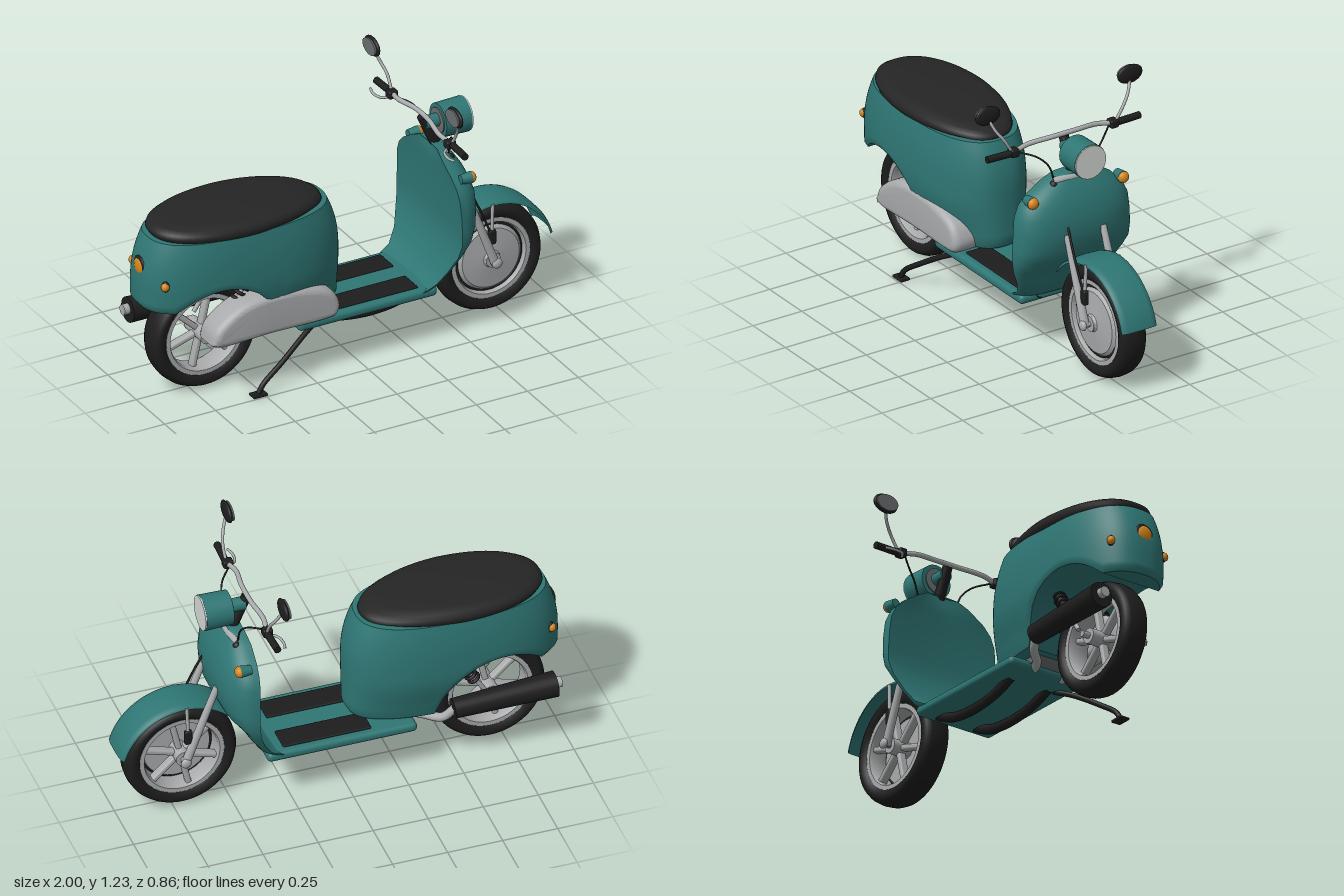
import * as THREE from 'three';
import { toCreasedNormals } from 'three/addons/utils/BufferGeometryUtils.js';
import { RoundedBoxGeometry } from 'three/addons/geometries/RoundedBoxGeometry.js';

const V = (x, y, z) => new THREE.Vector3(x, y, z);
const mat = (name, color, side = THREE.FrontSide) => {
  const m = new THREE.MeshStandardMaterial({ color, side });
  m.name = name;
  return m;
};

export function createModel() {
  const root = new THREE.Group();
  root.name = 'scooter';
  const teal = mat('teal paint', 0x2e7674, THREE.DoubleSide);
  const black = mat('black rubber', 0x1d1d1d);
  const seatMat = mat('seat black', 0x252525);
  const metal = mat('light grey metal', 0xa9abac);
  const lensMat = mat('lens white', 0xd6dad6);
  const orange = mat('orange lamp', 0xd4861c);
  const dark = mat('dark grey glass', 0x6a6e70);

  const add = (name, geo, m, pos, parent = root) => {
    const mesh = new THREE.Mesh(geo, m);
    mesh.name = name;
    if (pos) mesh.position.set(...pos);
    parent.add(mesh);
    return mesh;
  };
  // straight round bar between two points
  const rod = (name, m, a, b, r1, r2 = r1, parent = root) => {
    const p = V(...a), d = V(...b).sub(p);
    const mesh = add(name, new THREE.CylinderGeometry(r2, r1, d.length(), 24), m, null, parent);
    mesh.position.copy(p).addScaledVector(d, 0.5);
    mesh.quaternion.setFromUnitVectors(V(0, 1, 0), d.normalize());
    return mesh;
  };
  // bent round bar through points
  const pipe = (name, m, r, pts) =>
    add(name, new THREE.TubeGeometry(new THREE.CatmullRomCurve3(pts.map(p => V(...p))), 32, r, 12), m);
  const ball = (name, m, pos, rx, ry, rz) => {
    const g = new THREE.SphereGeometry(1, 24, 16);
    g.scale(rx, ry, rz);
    return add(name, g, m, pos);
  };
  // skin over closed rings of equal length
  const loft = (rings, crease) => {
    const n = rings[0].length, idx = [];
    for (let i = 0; i < rings.length - 1; i++) for (let j = 0; j < n; j++) {
      const a = i * n + j, b = i * n + (j + 1) % n;
      idx.push(a, a + n, b + n, a, b + n, b);
    }
    const g = new THREE.BufferGeometry().setFromPoints(rings.flat());
    g.setIndex(idx);
    g.computeVertexNormals();
    return crease ? toCreasedNormals(g, crease) : g;
  };
  // rounded egg outline in plan, unit size
  const outline = (n, p) => Array.from({ length: n }, (_, j) => {
    const a = j / n * Math.PI * 2, c = Math.cos(a), s = Math.sin(a);
    return [Math.sign(c) * Math.abs(c) ** (2 / p), Math.sign(s) * Math.abs(s) ** (2 / p)];
  });
  const lathe = (pts, ...arc) => {
    const g = new THREE.LatheGeometry(pts.map(p => new THREE.Vector2(...p)), ...(arc.length ? arc : [64]));
    return g.rotateX(Math.PI / 2);
  };

  // wheels
  const tyre = [[0.185, -0.045], [0.2, -0.058], [0.222, -0.066], [0.24, -0.058], [0.251, -0.035], [0.255, 0],
    [0.251, 0.035], [0.24, 0.058], [0.222, 0.066], [0.2, 0.058], [0.185, 0.045]];
  const rim = [[0.166, -0.04], [0.172, -0.052], [0.192, -0.052], [0.192, 0.052], [0.172, 0.052], [0.166, 0.04], [0.166, -0.04]];
  for (const [name, x, y, spokeZ] of [['frontWheel', 0.71, 0.26, -0.02], ['rearWheel', -0.69, 0.26, 0]]) {
    const w = new THREE.Group();
    w.name = name;
    w.position.set(x, y, 0);
    root.add(w);
    add('tyre', lathe(tyre), black, null, w);
    add('rim', toCreasedNormals(lathe(rim), 0.6), metal, null, w);
    rod('hub', metal, [0, 0, -0.075], [0, 0, 0.075], 0.035, 0.035, w);
    rod('axle', metal, [0, 0, -0.11], [0, 0, 0.11], 0.014, 0.014, w);
    for (let k = 0; k < 6; k++) {
      const g = new RoundedBoxGeometry(0.16, 0.026, 0.04, 2, 0.01);
      g.translate(0.1, 0, spokeZ).rotateZ(k * Math.PI / 3 + 0.3);
      add('spoke', g, metal, null, w);
    }
  }
  const drum = lathe([[0, 0.02], [0.15, 0.02], [0.155, 0.035], [0.14, 0.05], [0.04, 0.06], [0.03, 0.075], [0, 0.075]]);
  add('brakeDrum', toCreasedNormals(drum, 0.5), metal, [0.71, 0.26, 0]);
  add('drumRing', new THREE.TorusGeometry(0.158, 0.006, 8, 64), black, [0.71, 0.26, 0.032]);

  // front mudguard
  const rad = Math.PI / 180;
  add('frontMudguard', lathe([[0.282, -0.088], [0.294, -0.084], [0.3, -0.06], [0.302, 0], [0.3, 0.06], [0.294, 0.084], [0.282, 0.088]],
    48, 105 * rad, 130 * rad), teal, [0.71, 0.25, 0]);

  // fork and brake fittings
  for (const s of [-1, 1]) {
    rod('forkLeg', metal, [0.71, 0.25, s * 0.095], [0.565, 0.63, s * 0.092], 0.02, 0.015);
    rod('mudguardStay', metal, [0.695, 0.39, s * 0.088], [0.7, 0.54, s * 0.084], 0.008);
    add('forkClamp', new RoundedBoxGeometry(0.035, 0.07, 0.025, 2, 0.008), black, [0.695, 0.385, s * 0.088]);
    ball('axleCap', metal, [0.71, 0.26, s * 0.108], 0.024, 0.024, 0.014);
  }
  pipe('brakeCable', black, 0.005, [[0.5, 0.76, 0.08], [0.57, 0.66, 0.09], [0.63, 0.54, 0.095], [0.69, 0.4, 0.09]]);

  // leg shield: y, half width, front x, back x
  const shieldRows = [[0.25, 0.19, 0.35, 0.26], [0.27, 0.2, 0.38, 0.3], [0.3, 0.21, 0.41, 0.355], [0.36, 0.235, 0.445, 0.395],
    [0.44, 0.275, 0.49, 0.425], [0.5, 0.29, 0.54, 0.438], [0.56, 0.29, 0.567, 0.438], [0.64, 0.285, 0.575, 0.437], [0.71, 0.278, 0.57, 0.433],
    [0.76, 0.255, 0.555, 0.43], [0.8, 0.215, 0.54, 0.427], [0.85, 0.135, 0.51, 0.425], [0.878, 0.08, 0.49, 0.432]];
  const shieldRings = shieldRows.map(([y, w, xf, xb]) => {
    const ring = [];
    for (let i = 0; i <= 28; i++) {
      const a = (i / 28 - 0.5) * Math.PI;
      const c = Math.abs(Math.cos(a)) ** 0.75, q = Math.sign(a) * Math.abs(Math.sin(a)) ** 0.75;
      ring.push(V(xb + (xf - xb) * c, y, w * q));
    }
    for (let i = 1; i < 10; i++) ring.push(V(xb + 0.012 * Math.sin(i * Math.PI / 10), y, w * (1 - i / 5)));
    return ring;
  });
  const closeRing = (ring, dy) => ring.map(p => V(p.x, p.y + dy, 0));
  add('legShield', loft([closeRing(shieldRings[0], 0), ...shieldRings, closeRing(shieldRings.at(-1), 0.004)], 0.7), teal);

  // footboard, mats and underside skids
  add('footboard', new RoundedBoxGeometry(0.68, 0.045, 0.4, 4, 0.02), teal, [0.03, 0.258, 0]);
  for (const s of [-1, 1]) {
    add('floorMat', new RoundedBoxGeometry(0.4, 0.012, 0.115, 2, 0.005), black, [0.09, 0.282, s * 0.108]);
    pipe('skid', black, 0.022, [[-0.18, 0.25, s * 0.1], [-0.08, 0.212, s * 0.1], [0.08, 0.192, s * 0.1],
      [0.22, 0.205, s * 0.1], [0.3, 0.235, s * 0.1], [0.37, 0.275, s * 0.1]]);
  }

  // rear body, arched over the wheel
  const bodyPlan = outline(96, 2.5);
  const bottomAt = x => {
    const d = x + 0.69;
    return Math.max(0.26 + Math.sqrt(Math.max(0, 0.0841 - d * d)), d < 0 ? 0.46 : 0.29);
  };
  const insetAt = y => y > 0.55 ? 1 - 0.11 * ((y - 0.55) / 0.235) ** 2.2 : 1;
  const pinchAt = y => 0.78 + 0.22 * THREE.MathUtils.smoothstep(y, 0.28, 0.52);
  const bodyRings = [];
  for (let i = 0; i <= 16; i++) bodyRings.push(bodyPlan.map(([c, s]) => {
    const b = bottomAt(-0.52 + 0.48 * c), y = b + (0.785 - b) * i / 16;
    const k = insetAt(y) * (i === 0 ? 0.965 : 1);
    return V(-0.52 + 0.48 * c * k, y, 0.228 * s * k * pinchAt(y));
  }));
  add('rearBody', loft([closeRing(bodyRings[0], 0), ...bodyRings, closeRing(bodyRings.at(-1), 0)], 0.8), teal);

  // seat
  const seatPlan = outline(64, 2.2);
  const seatRings = [[0.77, 0], [0.77, 0.9], [0.785, 0.97], [0.803, 1], [0.82, 0.985], [0.836, 0.92], [0.844, 0.75], [0.847, 0.4], [0.847, 0]]
    .map(([y, k]) => seatPlan.map(([c, s]) => V(-0.523 + 0.412 * c * k,
      y - 0.02 * Math.max(0, c * k) ** 2 * (y > 0.8 ? 1 : 0), 0.216 * s * k * (1 - 0.1 * Math.max(0, c)))));
  add('seat', loft(seatRings), seatMat);

  // engine cover
  const cover = new THREE.Shape();
  cover.moveTo(-0.74, 0.285);
  cover.splineThru([[-0.72, 0.35], [-0.65, 0.41], [-0.56, 0.45], [-0.42, 0.465], [-0.27, 0.45], [-0.16, 0.41], [-0.115, 0.34],
    [-0.13, 0.285], [-0.2, 0.27], [-0.45, 0.272], [-0.68, 0.265], [-0.74, 0.285]].map(p => new THREE.Vector2(...p)));
  const coverGeo = new THREE.ExtrudeGeometry(cover, { depth: 0.08, bevelThickness: 0.035, bevelSize: 0.03, bevelOffset: -0.03, bevelSegments: 6, curveSegments: 6 });
  add('engineCover', toCreasedNormals(coverGeo, 0.7), metal, [0, 0, 0.105]);
  rod('engineBlock', dark, [-0.3, 0.33, -0.1], [-0.3, 0.33, 0.1], 0.07);

  // exhaust
  rod('muffler', black, [-0.47, 0.315, -0.192], [-0.935, 0.33, -0.192], 0.045, 0.058);
  rod('exhaustTip', metal, [-0.93, 0.335, -0.192], [-0.962, 0.336, -0.192], 0.024);
  pipe('exhaustPipe', metal, 0.02, [[-0.27, 0.26, -0.05], [-0.36, 0.25, -0.1], [-0.43, 0.265, -0.17], [-0.48, 0.315, -0.192]]);
  pipe('swingArm', metal, 0.022, [[-0.28, 0.25, 0.09], [-0.45, 0.26, 0.1], [-0.69, 0.26, 0.1]]);

  // rear shock absorbers
  for (const s of [-1, 1]) {
    rod('shockRod', metal, [-0.66, 0.29, s * 0.105], [-0.5, 0.53, s * 0.105], 0.01);
    for (let k = 0; k < 6; k++) {
      const coil = add('shockCoil', new THREE.TorusGeometry(0.024, 0.008, 8, 20), black, [-0.595 + k * 0.015, 0.3875 + k * 0.0225, s * 0.105]);
      coil.quaternion.setFromUnitVectors(V(0, 0, 1), V(0.555, 0.832, 0));
    }
  }

  // side stand
  pipe('sideStand', black, 0.012, [[-0.18, 0.24, 0.13], [-0.27, 0.2, 0.165], [-0.4, 0.12, 0.205], [-0.5, 0.05, 0.222], [-0.525, 0.012, 0.223]]);
  add('standFoot', new RoundedBoxGeometry(0.07, 0.012, 0.048, 2, 0.004), black, [-0.525, 0.006, 0.223]);

  // steering column, headlight and gauge
  rod('steeringColumn', black, [0.47, 0.86, 0], [0.4, 1.01, 0], 0.026, 0.022);
  rod('headlightNeck', teal, [0.41, 0.975, 0], [0.49, 0.975, 0], 0.03);
  rod('headlightShell', teal, [0.48, 0.97, 0], [0.605, 0.97, 0], 0.077, 0.08);
  rod('headlightLens', lensMat, [0.604, 0.97, 0], [0.611, 0.97, 0], 0.078);
  rod('gauge', dark, [0.482, 0.97, 0], [0.474, 0.97, 0], 0.058);
  pipe('crossBar', metal, 0.017, [[0.475, 0.852, -0.105], [0.485, 0.856, -0.06], [0.49, 0.857, 0], [0.485, 0.856, 0.06], [0.475, 0.852, 0.105]]);

  // handlebar and paired fittings
  pipe('handlebar', metal, 0.011, [[0.4, 1.0, -0.26], [0.385, 1.012, -0.18], [0.4, 1.022, -0.06], [0.4, 1.022, 0.06], [0.385, 1.012, 0.18], [0.4, 1.0, 0.26]]);
  for (const s of [-1, 1]) {
    rod('grip', black, [0.4, 1, s * 0.25], [0.395, 1, s * 0.392], 0.016);
    add('switchBox', new RoundedBoxGeometry(0.045, 0.038, 0.04, 2, 0.008), black, [0.395, 1, s * 0.255]);
    pipe('brakeLever', metal, 0.006, [[0.39, 0.985, s * 0.255], [0.355, 0.98, s * 0.28], [0.345, 0.978, s * 0.33], [0.355, 0.98, s * 0.372]]);
    pipe('mirrorStalk', metal, 0.007, [[0.4, 1.01, s * 0.268], [0.4, 1.07, s * 0.305], [0.385, 1.12, s * 0.34], [0.365, 1.17, s * 0.362]]);
    ball('mirrorShell', black, [0.361, 1.19, s * 0.365], 0.016, 0.044, 0.064);
    const glass = rod('mirrorGlass', dark, [0.35, 1.19, s * 0.365], [0.343, 1.19, s * 0.365], 0.056);
    glass.scale.x = 0.66;
    pipe('controlCable', black, 0.004, [[0.4, 0.995, s * 0.23], [0.45, 0.975, s * 0.17], [0.47, 0.93, s * 0.125], [0.475, 0.86, s * 0.1]]);
    ball('barEnd', black, [0.48, 0.838, s * 0.105], 0.02, 0.02, 0.02);

    // turn signals
    rod('frontSignalHousing', teal, [0.46, 0.795, s * 0.232], [0.51, 0.795, s * 0.232], 0.02, 0.027);
    ball('frontSignal', orange, [0.512, 0.795, s * 0.232], 0.022, 0.026, 0.026);
    ball('rearSignalRing', black, [-0.932, 0.6, s * 0.137], 0.018, 0.026, 0.018);
    ball('rearSignal', orange, [-0.938, 0.6, s * 0.143], 0.018, 0.02, 0.018);
  }

  // tail lamp
  ball('tailLampRing', black, [-0.982, 0.65, 0], 0.014, 0.048, 0.048);
  ball('tailLamp', orange, [-0.984, 0.65, 0], 0.016, 0.04, 0.04);
  return root;
}
